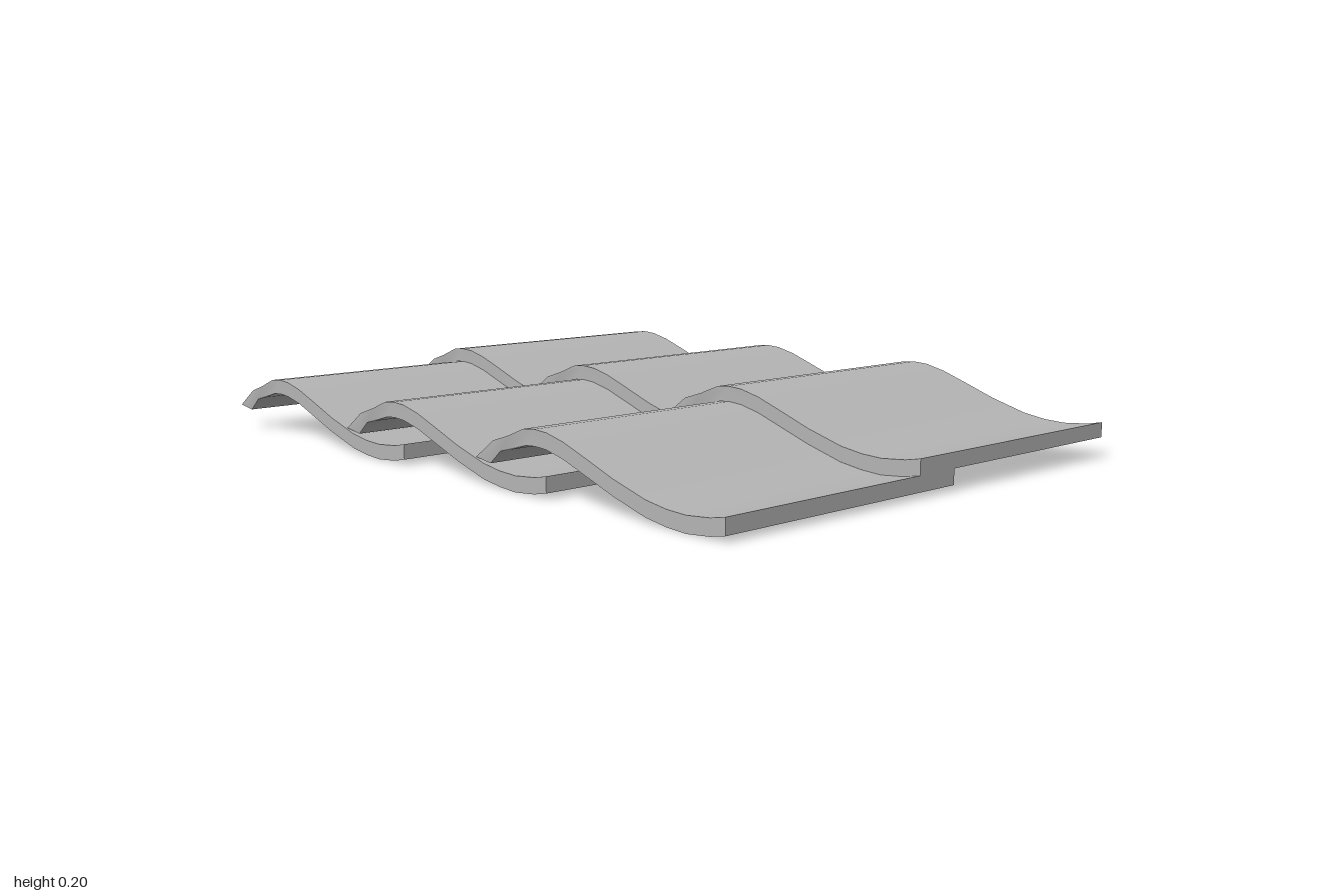
import * as THREE from 'three';
import { toCreasedNormals } from 'three/addons/utils/BufferGeometryUtils.js';

// Upper and lower outline of one wavy tile, left lip to right edge
const TOP = [
  [-1, 0.065], [-0.94, 0.112], [-0.875, 0.132], [-0.815, 0.156], [-0.775, 0.16], [-0.73, 0.157],
  [-0.67, 0.143], [-0.595, 0.117], [-0.5, 0.083], [-0.395, 0.053], [-0.33, 0.043], [-0.27, 0.04],
  [-0.2, 0.046], [-0.155, 0.055],
];
const BOTTOM = [
  [-0.95, 0.055], [-0.91, 0.09], [-0.865, 0.1], [-0.805, 0.118], [-0.77, 0.12], [-0.73, 0.117],
  [-0.67, 0.103], [-0.595, 0.077], [-0.5, 0.044], [-0.395, 0.014], [-0.33, 0.004], [-0.27, 0],
  [-0.2, 0.006], [-0.155, 0.015],
];
const LENGTH = 0.77;
const PITCH = 0.5775;

function tileGeometry() {
  const outline = [...TOP, ...[...BOTTOM].reverse()].map(([x, y]) => new THREE.Vector2(x, y));
  const geometry = new THREE.ExtrudeGeometry(new THREE.Shape(outline), {
    depth: LENGTH, steps: 1, bevelEnabled: false,
  });
  // The lip sits very slightly further back than the rest of the tile
  const p = geometry.attributes.position;
  for (let i = 0; i < p.count; i++) {
    const x = p.getX(i);
    if (x > -0.96 && x < -0.9) p.setZ(i, p.getZ(i) - 0.005);
  }
  return toCreasedNormals(geometry, 0.6);
}

export function createModel() {
  const model = new THREE.Group();
  model.name = 'roofTiles';
  const clay = new THREE.MeshStandardMaterial({ color: 0xb4b4b4 });
  clay.name = 'grey clay';
  const geometry = tileGeometry();

  // Lower front row, and the upper row lapped over its back end
  const rows = [
    { name: 'frontRow', y: 0, z: 0.705 - LENGTH },
    { name: 'backRow', y: 0.04, z: -0.705 },
  ];
  for (const { name, y, z } of rows) {
    const row = new THREE.Group();
    row.name = name;
    row.position.set(0, y, z);
    for (let i = 0; i < 3; i++) {
      const tile = new THREE.Mesh(geometry, clay);
      tile.name = 'tile' + (i + 1);
      tile.position.x = i * PITCH;
      row.add(tile);
    }
    model.add(row);
  }
  return model;
}
